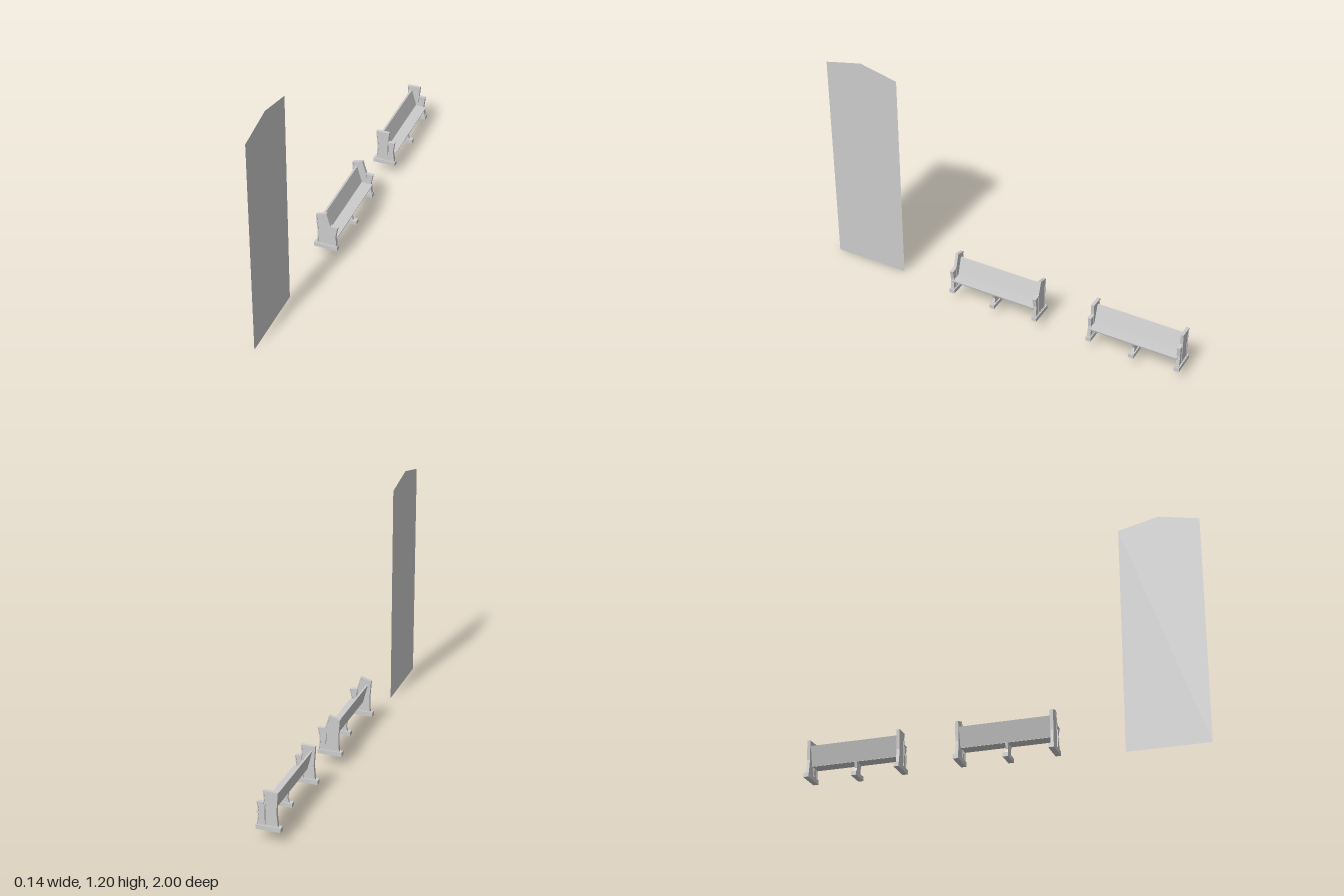
import * as THREE from 'three';

const mat = new THREE.MeshStandardMaterial({ color: 0xcccccc, flatShading: true });
const sheetMat = new THREE.MeshStandardMaterial({ color: 0xcccccc, side: THREE.DoubleSide });

const toShape = (pts) => new THREE.Shape(pts.map(([x, y]) => new THREE.Vector2(x, y)));

function add(parent, geometry, name, x = 0, y = 0, z = 0) {
  const mesh = new THREE.Mesh(geometry, mat);
  mesh.name = name;
  mesh.position.set(x, y, z);
  parent.add(mesh);
  return mesh;
}

// Side profile (x, y) given a thickness centred on z
function slab(parent, shape, thickness, name, z = 0) {
  const geo = new THREE.ExtrudeGeometry(shape, { depth: thickness, bevelEnabled: false });
  return add(parent, geo.translate(0, 0, -thickness / 2), name, 0, 0, z);
}

function box(parent, [x0, x1], [y0, y1], depth, name, z = 0) {
  return add(parent, new THREE.BoxGeometry(x1 - x0, y1 - y0, depth), name, (x0 + x1) / 2, (y0 + y1) / 2, z);
}

// Recessed panel inside a raised rim
function framedPanel(parent, pts, rimDepth, coreDepth, inset, name) {
  const cx = pts.reduce((s, p) => s + p[0], 0) / pts.length;
  const cy = pts.reduce((s, p) => s + p[1], 0) / pts.length;
  const inner = pts.map(([x, y]) => [x - Math.sign(x - cx) * inset, Math.abs(y - cy) > 0.04 ? y - Math.sign(y - cy) * inset : y]);
  const rim = toShape(pts);
  rim.holes.push(new THREE.Path(inner.map(([x, y]) => new THREE.Vector2(x, y))));
  slab(parent, rim, rimDepth, name + 'Rim');
  slab(parent, toShape(inner), coreDepth, name + 'Core');
}

function pewEnd(tall, arm, baseX) {
  const end = new THREE.Group();
  end.name = 'pewEnd';
  framedPanel(end, tall, 0.016, 0.011, 0.005, 'tallPanel');
  framedPanel(end, arm, 0.018, 0.012, 0.004, 'armPanel');
  box(end, baseX, [0.06, 0.082], 0.027, 'endFoot');
  return end;
}

function pew(name, zMid, dx, tall, arm, baseX) {
  const group = new THREE.Group();
  group.name = name;
  group.position.z = zMid;
  for (const side of [-1, 1]) {
    const end = pewEnd(tall, arm, baseX);
    end.position.z = side * 0.234;
    group.add(end);
  }
  // Seat board and leaning backrest
  const seat = toShape([[-0.018, 0.131], [0.046, 0.131], [0.048, 0.139], [-0.012, 0.141]]);
  const back = toShape([[-0.02, 0.131], [-0.01, 0.139], [-0.036, 0.23], [-0.046, 0.23]]);
  slab(group, seat, 0.462, 'seat').position.x = dx;
  slab(group, back, 0.462, 'backrest').position.x = dx;
  // Middle support and its foot
  const leg = toShape([[-0.02, 0.075], [0.038, 0.075], [0.03, 0.1], [0.042, 0.131], [-0.018, 0.131], [-0.012, 0.1]]);
  slab(group, leg, 0.013, 'middleLeg').position.x = dx;
  box(group, [-0.036 + dx, 0.057 + dx], [0.056, 0.077], 0.027, 'middleFoot');
  return group;
}

export function createModel() {
  const model = new THREE.Group();
  model.name = 'pewsAndPanel';

  // Thin upright panel with a peaked top
  const outline = toShape([[-0.2, 0], [0.2, 0], [0.2, 1.15], [0, 1.195], [-0.2, 1.15]]);
  const panel = new THREE.Mesh(new THREE.ShapeGeometry(outline), sheetMat);
  panel.name = 'peakedPanel';
  panel.rotation.y = Math.PI / 2;
  panel.position.set(-0.055, 0, 0.8);
  model.add(panel);

  // Pew with sloping end tops
  model.add(pew('nearPew', 0.018, 0,
    [[-0.058, 0.08], [0.011, 0.08], [0.013, 0.2], [-0.008, 0.27], [-0.063, 0.253], [-0.055, 0.155]],
    [[0.011, 0.08], [0.045, 0.08], [0.04, 0.145], [0.05, 0.196], [0.013, 0.2]],
    [-0.073, 0.049]));

  // Pew with level end tops
  model.add(pew('farPew', -0.753, 0.011,
    [[-0.048, 0.08], [0.016, 0.08], [0.014, 0.16], [0.021, 0.256], [-0.05, 0.254], [-0.042, 0.155]],
    [[0.016, 0.08], [0.053, 0.08], [0.045, 0.145], [0.051, 0.197], [0.017, 0.199]],
    [-0.063, 0.058]));

  return model;
}
